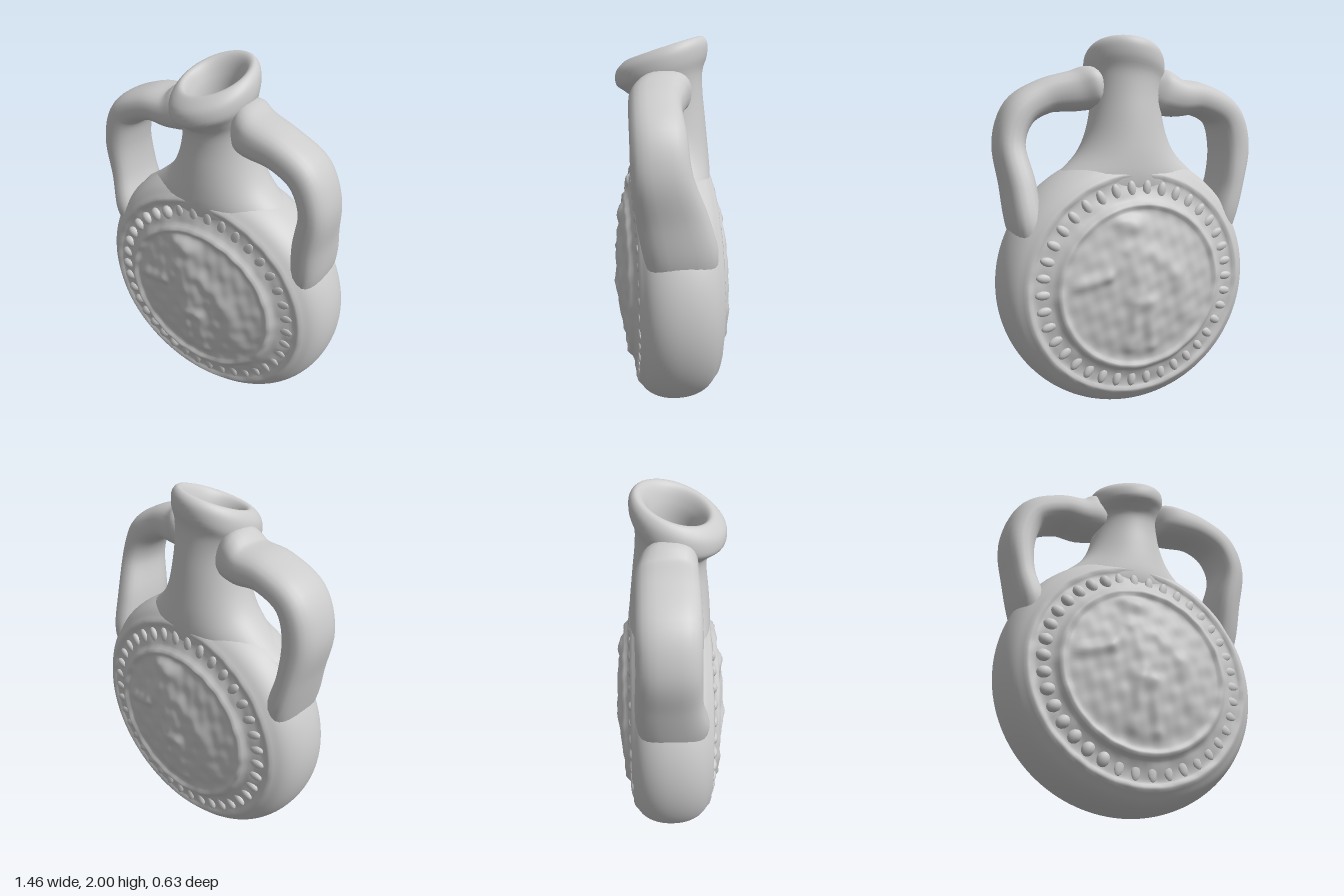
import * as THREE from 'three';
import { mergeVertices } from 'three/addons/utils/BufferGeometryUtils.js';

const clay = new THREE.MeshStandardMaterial({ color: 0xcccccc, side: THREE.DoubleSide });
const CX = 0.01, CY = 0.7; // centre of the disc

// Catmull-Rom resampling of rows of numbers
function smoothRows(rows, steps) {
  const out = [];
  const at = i => rows[Math.max(0, Math.min(rows.length - 1, i))];
  for (let i = 0; i < rows.length - 1; i++) {
    for (let s = 0; s < steps; s++) {
      const t = s / steps;
      out.push(rows[i].map((p1, k) => {
        const p0 = at(i - 1)[k], p2 = at(i + 1)[k], p3 = at(i + 2)[k];
        return p1 + 0.5 * t * (p2 - p0 + t * (2 * p0 - 5 * p1 + 4 * p2 - p3 + t * (3 * (p1 - p2) + p3 - p0)));
      }));
    }
  }
  out.push(rows[rows.length - 1]);
  return out;
}

// Skin over closed rings that all have the same number of points
function loft(rings) {
  const n = rings[0].length, pos = [], idx = [];
  rings.forEach(ring => ring.forEach(p => pos.push(...p)));
  for (let i = 0; i < rings.length - 1; i++) {
    for (let j = 0; j < n; j++) {
      const k = (j + 1) % n, a = i * n, b = a + n;
      idx.push(a + j, b + j, a + k, a + k, b + j, b + k);
    }
  }
  const g = new THREE.BufferGeometry();
  g.setAttribute('position', new THREE.Float32BufferAttribute(pos, 3));
  g.setIndex(idx);
  g.computeVertexNormals();
  return g;
}

function add(parent, geometry, name) {
  const mesh = new THREE.Mesh(geometry, clay);
  mesh.name = name;
  parent.add(mesh);
  return mesh;
}

const domeZ = r => 0.292 - 0.28 * r * r;
const bump = (d, w) => Math.exp(-(d * d) / (w * w));
const soft = (v, power) => Math.sign(v) * Math.abs(v) ** power;

// Worn standing figure: strokes x1, y1, x2, y2, width, height (from the disc centre)
const strokes = [
  [-0.11, 0.36, -0.05, 0.34, 0.06, 0.03], // head
  [-0.06, 0.22, -0.02, -0.05, 0.07, 0.016], // torso
  [-0.12, 0.2, -0.2, 0.08, 0.04, 0.012], // arms
  [-0.2, 0.08, -0.36, 0.04, 0.035, 0.014],
  [0.04, 0.18, 0.2, 0.05, 0.045, 0.012],
  [-0.05, -0.08, -0.07, -0.33, 0.035, 0.014], // legs
  [0.03, -0.08, 0.05, -0.33, 0.035, 0.014],
  [0.2, 0.05, 0.26, -0.2, 0.045, 0.01], // drapery
];

function relief(x, y) {
  const r = Math.hypot(x, y);
  let h = 0.02 * bump(r - 0.445, 0.018) + 0.014 * bump(r - 0.6, 0.02) - 0.006 * bump(r - 0.52, 0.05);
  const inside = THREE.MathUtils.smoothstep(0.43 - r, 0, 0.05);
  for (const [x1, y1, x2, y2, w, a] of strokes) {
    const dx = x2 - x1, dy = y2 - y1;
    const t = THREE.MathUtils.clamp(((x - x1) * dx + (y - y1) * dy) / (dx * dx + dy * dy), 0, 1);
    h += inside * a * bump(Math.hypot(x - x1 - t * dx, y - y1 - t * dy), w);
  }
  const wear = Math.sin(31 * x + 9 * y) * Math.sin(37 * y - 13 * x) + 0.6 * Math.sin(59 * x - 23 * y) * Math.sin(47 * y + 29 * x);
  return h - 0.004 * inside + 0.003 * wear * (r < 0.6 ? 1 : 0);
}

// Round flattened body with relief on both faces
function bodyGeometry() {
  const half = [];
  for (let i = 0; i <= 48; i++) half.push([0.58 * i / 48, domeZ(0.58 * i / 48)]);
  for (let i = 1; i <= 16; i++) {
    const t = (1 - i / 16) * Math.PI / 2;
    half.push([0.58 + 0.13 * soft(Math.cos(t), 0.95), domeZ(0.58) * soft(Math.sin(t), 0.95)]);
  }
  const profile = half.map(([r, z]) => new THREE.Vector2(r, -z));
  half.slice(0, -1).reverse().forEach(([r, z]) => profile.push(new THREE.Vector2(r, z)));
  let g = new THREE.LatheGeometry(profile, 128);
  g.rotateX(Math.PI / 2);
  g.deleteAttribute('uv');
  g.deleteAttribute('normal');
  g = mergeVertices(g, 1e-5);
  const p = g.attributes.position;
  for (let i = 0; i < p.count; i++) {
    const x = p.getX(i), y = p.getY(i), z = p.getZ(i), s = Math.sign(z);
    const lift = Math.abs(z) > 0.1 ? s * relief(x * s, y) : 0;
    p.setXYZ(i, x * 1.014, y * 0.986, z + lift); // slightly wider than tall
  }
  g.computeVertexNormals();
  return g;
}

// Neck, tilted lip and bore: y, half width, half depth, z centre, tilt
function neckGeometry() {
  const rows = smoothRows([
    [0.95, 0.5, 0.1, 0, 0], [1.1, 0.52, 0.16, 0, 0], [1.2, 0.5, 0.2, 0, 0],
    [1.28, 0.4, 0.212, 0, 0], [1.38, 0.29, 0.208, 0, 0], [1.48, 0.232, 0.198, 0, 0],
    [1.6, 0.2, 0.185, 0, 0], [1.7, 0.192, 0.182, 0.01, 0.3], [1.77, 0.205, 0.2, 0.03, 0.8],
    [1.825, 0.218, 0.232, 0.04, 1], [1.89, 0.21, 0.232, 0.04, 1], [1.932, 0.18, 0.195, 0.03, 1],
    [1.925, 0.15, 0.16, 0.03, 1], [1.87, 0.125, 0.13, 0.03, 1], [1.79, 0.112, 0.114, 0.03, 0.8],
    [1.58, 0.108, 0.108, 0.03, 0], [1.53, 0.001, 0.001, 0.03, 0],
  ], 4);
  return loft(rows.map(([y, rx, rz, zc, tilt]) => {
    const ring = [];
    for (let j = 0; j < 48; j++) {
      const a = j / 48 * Math.PI * 2, x = rx * Math.cos(a), z = rz * Math.sin(a);
      ring.push([x - 0.01 * tilt, y + tilt * (0.18 * x - 0.3 * z), z + zc]);
    }
    return ring;
  }));
}

// Strap handle along rows of x, y, z, half thickness, half width
function handleGeometry(path) {
  const rows = smoothRows(path, 6);
  return loft(rows.map(([x, y, z, thick, wide], i) => {
    const p = rows[Math.max(0, i - 1)], q = rows[Math.min(rows.length - 1, i + 1)];
    const t = new THREE.Vector2(q[0] - p[0], q[1] - p[1]).normalize();
    const ring = [];
    for (let j = 0; j < 24; j++) {
      const a = j / 24 * Math.PI * 2, u = thick * soft(Math.cos(a), 0.8);
      ring.push([x + t.y * u, y - t.x * u, z + wide * soft(Math.sin(a), 0.8)]);
    }
    return ring;
  }));
}

export function createModel() {
  const flask = new THREE.Group();
  flask.name = 'flask';

  add(flask, bodyGeometry(), 'body').position.set(CX, CY, 0);
  add(flask, neckGeometry(), 'neckAndLip');

  add(flask, handleGeometry([
    [0.135, 1.745, 0.02, 0.09, 0.1], [0.19, 1.74, 0.05, 0.115, 0.14], [0.27, 1.722, 0.085, 0.108, 0.14],
    [0.42, 1.695, 0.11, 0.092, 0.125], [0.56, 1.612, 0.11, 0.087, 0.13], [0.622, 1.45, 0.1, 0.08, 0.14],
    [0.595, 1.24, 0.05, 0.086, 0.17], [0.575, 1.03, 0.005, 0.085, 0.178], [0.53, 0.85, 0, 0.07, 0.13],
  ]), 'leftHandle');
  add(flask, handleGeometry([
    [-0.135, 1.74, 0, 0.1, 0.1], [-0.19, 1.72, -0.01, 0.125, 0.135], [-0.28, 1.69, -0.02, 0.105, 0.15],
    [-0.42, 1.683, -0.02, 0.09, 0.15], [-0.583, 1.602, -0.02, 0.088, 0.15], [-0.643, 1.43, -0.02, 0.092, 0.15],
    [-0.62, 1.22, -0.02, 0.076, 0.16], [-0.57, 1.03, 0, 0.082, 0.178], [-0.53, 0.85, 0, 0.07, 0.13],
  ]), 'rightHandle');

  // Ring of beads on each face: round on one side of the front, elsewhere worn radial dashes
  const bead = new THREE.SphereGeometry(1, 12, 8);
  for (const side of [1, -1]) {
    const ring = new THREE.Group();
    ring.name = side > 0 ? 'frontBeads' : 'backBeads';
    const count = 38;
    for (let i = 0; i < count; i++) {
      const a = i / count * Math.PI * 2;
      const crisp = side > 0 && a > 1.85 && a < 4.3;
      const mesh = add(ring, bead, 'bead');
      mesh.position.set(0.53 * Math.cos(a), 0.52 * Math.sin(a), side * (domeZ(0.525) - 0.008));
      mesh.rotation.z = a;
      if (crisp) mesh.scale.set(0.04, 0.032, 0.026);
      else mesh.scale.set(0.045, 0.024, side > 0 ? 0.009 : 0.018);
    }
    ring.position.set(CX, CY, 0);
    flask.add(ring);
  }
  return flask;
}
